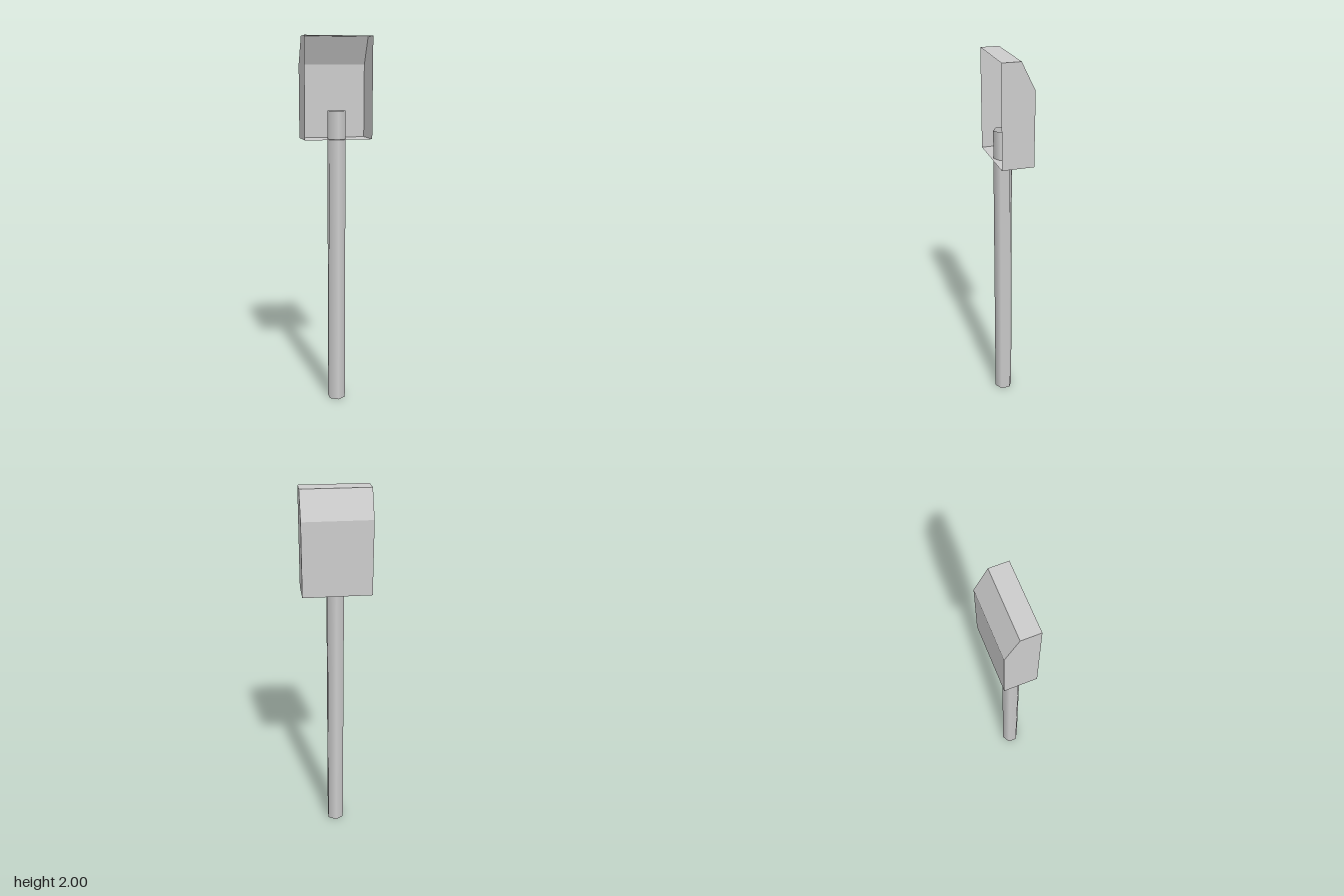
import * as THREE from 'three';

const HALF_WIDTH = 0.18;

// Side profile of the open-fronted head as [z, y], from front top over the back to front bottom
const PROFILE = [[0.084, 2], [-0.014, 2], [-0.085, 1.858], [-0.085, 1.471], [0.084, 1.471]];

// Flat convex panel from an ordered list of corners
function panel(name, corners, material) {
  const positions = [];
  for (let i = 1; i < corners.length - 1; i++) {
    positions.push(...corners[0], ...corners[i], ...corners[i + 1]);
  }
  const geometry = new THREE.BufferGeometry();
  geometry.setAttribute('position', new THREE.Float32BufferAttribute(positions, 3));
  geometry.computeVertexNormals();
  const mesh = new THREE.Mesh(geometry, material);
  mesh.name = name;
  return mesh;
}

export function createModel() {
  const grey = new THREE.MeshStandardMaterial({ color: 0xcccccc, side: THREE.DoubleSide });
  grey.name = 'lightGrey';

  const model = new THREE.Group();
  model.name = 'shovel';

  // Head: sheet panels swept across the width, left open at the front
  const head = new THREE.Group();
  head.name = 'head';
  ['topPanel', 'slopedPanel', 'backPanel', 'bottomPanel'].forEach((name, i) => {
    const [z0, y0] = PROFILE[i];
    const [z1, y1] = PROFILE[i + 1];
    const w = HALF_WIDTH;
    head.add(panel(name, [[-w, y0, z0], [w, y0, z0], [w, y1, z1], [-w, y1, z1]], grey));
  });

  // Mirrored side panels
  for (const side of [-1, 1]) {
    const corners = PROFILE.map(([z, y]) => [side * HALF_WIDTH, y, z]);
    if (side > 0) corners.reverse();
    head.add(panel(side > 0 ? 'leftPanel' : 'rightPanel', corners, grey));
  }
  model.add(head);

  // Hollow six-sided handle, running up through the bottom of the head
  const length = 1.62;
  const handle = new THREE.Mesh(new THREE.CylinderGeometry(0.05, 0.05, length, 6, 1, true), grey);
  handle.name = 'handle';
  handle.position.set(0, length / 2, 0.024);
  model.add(handle);

  return model;
}
